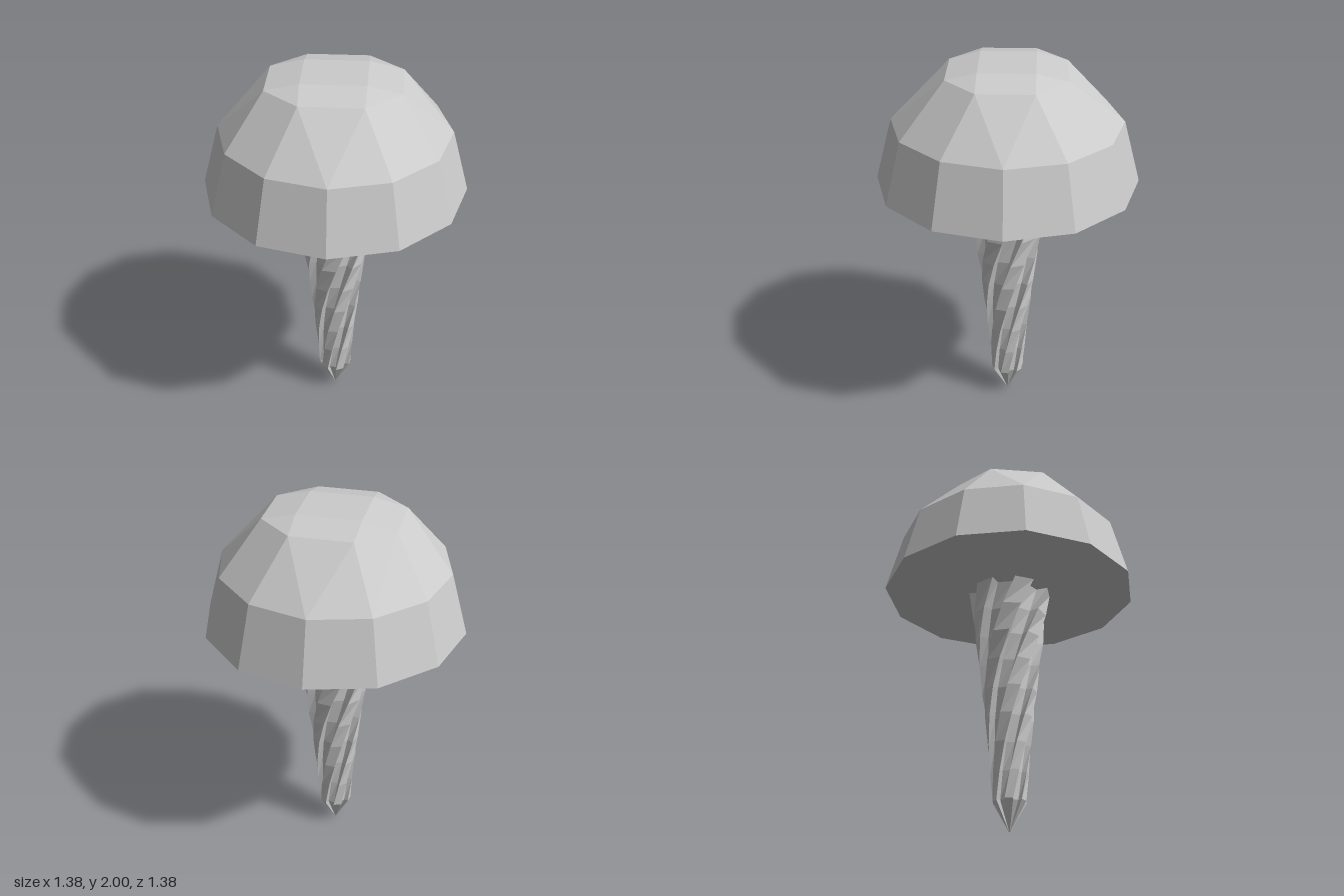
import * as THREE from 'three';

const RAD = Math.PI / 180;
const material = new THREE.MeshStandardMaterial({ color: 0xcccccc, flatShading: true });

// Point at an angle measured counter-clockwise as seen from above
const polar = (deg, r, y) => [r * Math.cos(deg * RAD), y, -r * Math.sin(deg * RAD)];

// Each face is a list of corner points, counter-clockwise from outside, cut into a fan
function facetMesh(name, faces) {
  const pos = [];
  for (const f of faces) {
    for (let i = 1; i < f.length - 1; i++) pos.push(...f[0], ...f[i], ...f[i + 1]);
  }
  const geo = new THREE.BufferGeometry();
  geo.setAttribute('position', new THREE.Float32BufferAttribute(pos, 3));
  geo.computeVertexNormals();
  const mesh = new THREE.Mesh(geo, material);
  mesh.name = name;
  return mesh;
}

// Quads between two closed rings, lower first
function bridge(faces, lower, upper) {
  lower.forEach((p, i) => {
    const j = (i + 1) % lower.length;
    faces.push([p, lower[j], upper[j], upper[i]]);
  });
}

// Twelve-sided dome with a small chamfered crown
function createHead() {
  const ring = (r, y) => Array.from({ length: 12 }, (_, i) => polar(i * 30, r, y));
  const rim = ring(0.69, 1.36);
  const shoulder = ring(0.602, 1.69);
  const faces = [];
  bridge(faces, rim, shoulder);
  faces.push([...rim].reverse());

  // Eight crown corners, counter-clockwise from the +x side
  const crown = [
    [0.34, 0.145], [0.16, 0.305], [-0.16, 0.305], [-0.34, 0.145],
    [-0.34, -0.145], [-0.16, -0.305], [0.16, -0.305], [0.34, -0.145],
  ].map(([x, back]) => [x, 1.96, -back]);
  const top = [[1, 1], [-1, 1], [-1, -1], [1, -1]].map(([x, back]) => [x * 0.165, 2, -back * 0.145]);

  for (let q = 0; q < 4; q++) {
    const s = (k) => shoulder[(q * 3 + k + 12) % 12];
    const a = crown[q * 2], b = crown[q * 2 + 1];
    const prev = crown[(q * 2 + 7) % 8];
    // Corner facet, then the two facets under the flat side before it
    faces.push([s(1), s(2), b, a]);
    faces.push([s(-1), s(0), prev], [s(0), a, prev], [s(0), s(1), a]);
    // Crown corner and sloping crown side
    faces.push([a, b, top[q]]);
    faces.push([prev, a, top[q], top[(q + 3) % 4]]);
  }
  faces.push(top);
  return facetMesh('head', faces);
}

// Tapered shank with six twisted ridges, running to a point
function createShank() {
  const steps = 8;
  const section = (t) => {
    const r = 0.09 + 0.135 * Math.pow(t, 1.25);
    const y = 0.16 + 1.2 * t;
    const twist = 18 * steps * (t - 1);
    const pts = [];
    for (let k = 0; k < 6; k++) {
      const c = 15 + 60 * k + twist;
      pts.push(
        polar(c - 15, r * 0.72, y), polar(c - 14, r, y),
        polar(c + 14, r, y), polar(c + 15, r * 0.72, y),
      );
    }
    return pts;
  };
  const faces = [];
  for (let i = 0; i < steps; i++) bridge(faces, section(i / steps), section((i + 1) / steps));

  // Tip
  const low = section(0);
  low.forEach((p, i) => faces.push([[0, 0, 0], low[(i + 1) % low.length], p]));
  return facetMesh('shank', faces);
}

export function createModel() {
  const model = new THREE.Group();
  model.name = 'screw';
  model.add(createHead(), createShank());
  return model;
}
